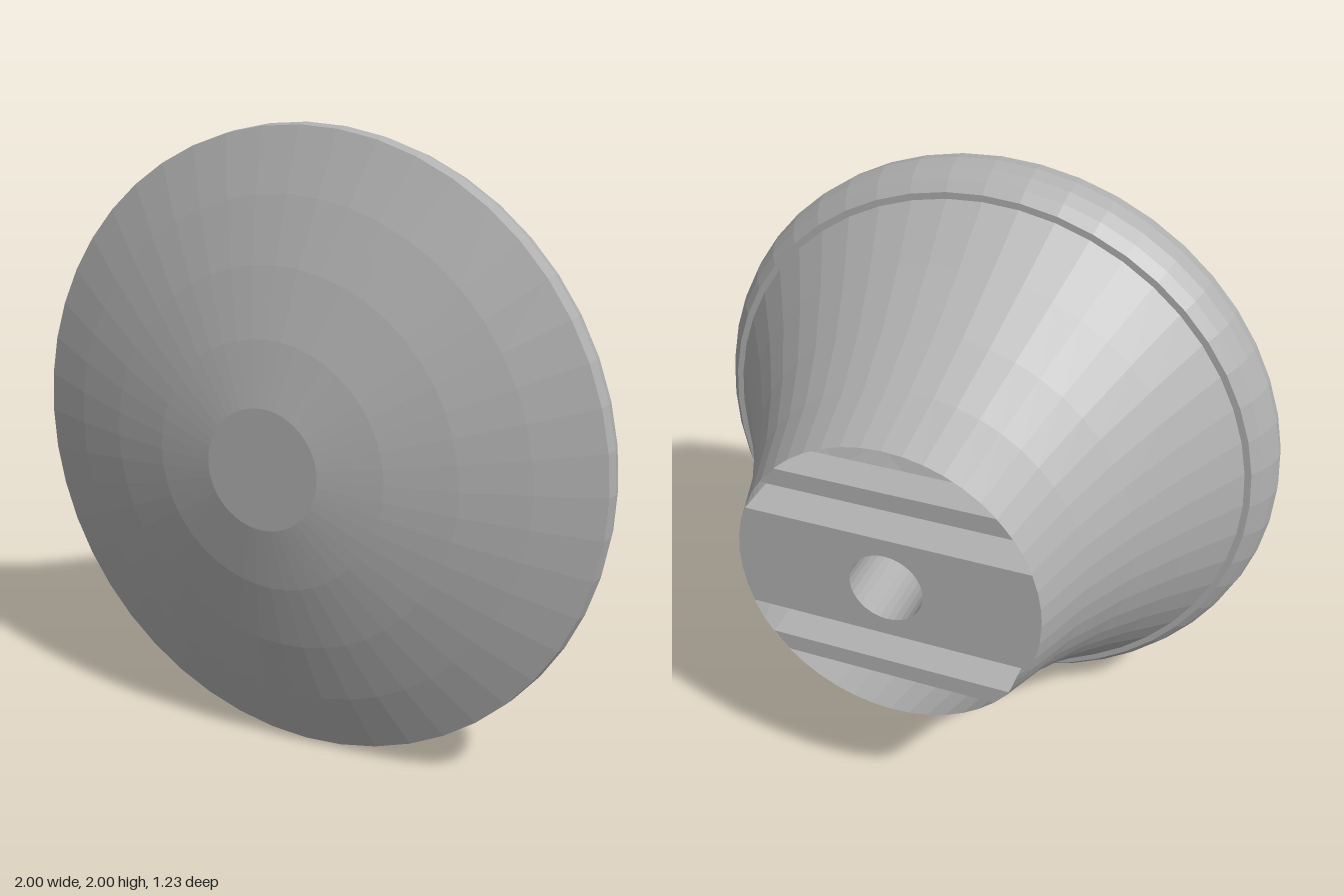
import * as THREE from 'three';

const SEGMENTS = 48;
const BACK = -0.615;
const NECK_RADIUS = 0.493;

// Profiles as [radius, z], from back to front
const NECK = [[0.495, BACK], [0.565, -0.4], [0.66, -0.2], [0.78, 0], [0.913, 0.195]];
const RIM = [[0.913, 0.195], [0.935, 0.195], [0.965, 0.23], [0.988, 0.275], [1, 0.325], [0.995, 0.372]];
const FACE = [[0.995, 0.372], [0.8, 0.452], [0.6, 0.52], [0.39, 0.577], [0.19, 0.615], [0, 0.615]];

export function createModel() {
  const grey = new THREE.MeshStandardMaterial({ color: 0xb0b0b0, flatShading: true, side: THREE.DoubleSide });
  grey.name = 'grey';
  const knob = new THREE.Group();
  knob.name = 'knob';
  knob.position.y = 1;

  const add = (name, geometry) => {
    const mesh = new THREE.Mesh(geometry, grey);
    mesh.name = name;
    knob.add(mesh);
  };

  // Turned shell, open at the back
  const turn = (profile) =>
    new THREE.LatheGeometry(profile.map(([r, z]) => new THREE.Vector2(r, z)), SEGMENTS).rotateX(Math.PI / 2);
  add('flaredNeck', turn(NECK));
  add('roundedRim', turn(RIM));
  add('domedFace', turn(FACE));

  // Horizontal slice of the neck opening between two heights
  const slice = (low, high) => {
    const a = Math.asin(low / NECK_RADIUS);
    const b = Math.asin(high / NECK_RADIUS);
    const points = [];
    for (const side of [0, 1]) {
      for (let i = 0; i <= 6; i++) {
        const t = a + ((b - a) * i) / 6;
        const angle = side ? Math.PI - (a + b - t) : t;
        points.push(new THREE.Vector2(Math.cos(angle) * NECK_RADIUS, Math.sin(angle) * NECK_RADIUS));
      }
    }
    return new THREE.Shape(points);
  };
  const extrude = (shape, depth) =>
    new THREE.ExtrudeGeometry(shape, { depth, bevelEnabled: false, curveSegments: 16 }).translate(0, 0, BACK);

  // Mounting bar with screw hole
  const bar = slice(-0.18, 0.18);
  bar.holes.push(new THREE.Path().absarc(0, 0, 0.12, 0, Math.PI * 2, true));
  add('mountingBar', extrude(bar, 0.35));

  // Thin ribs above and below the bar
  add('upperRib', extrude(slice(0.29, 0.35), 0.12));
  add('lowerRib', extrude(slice(-0.35, -0.29), 0.12));

  return knob;
}
